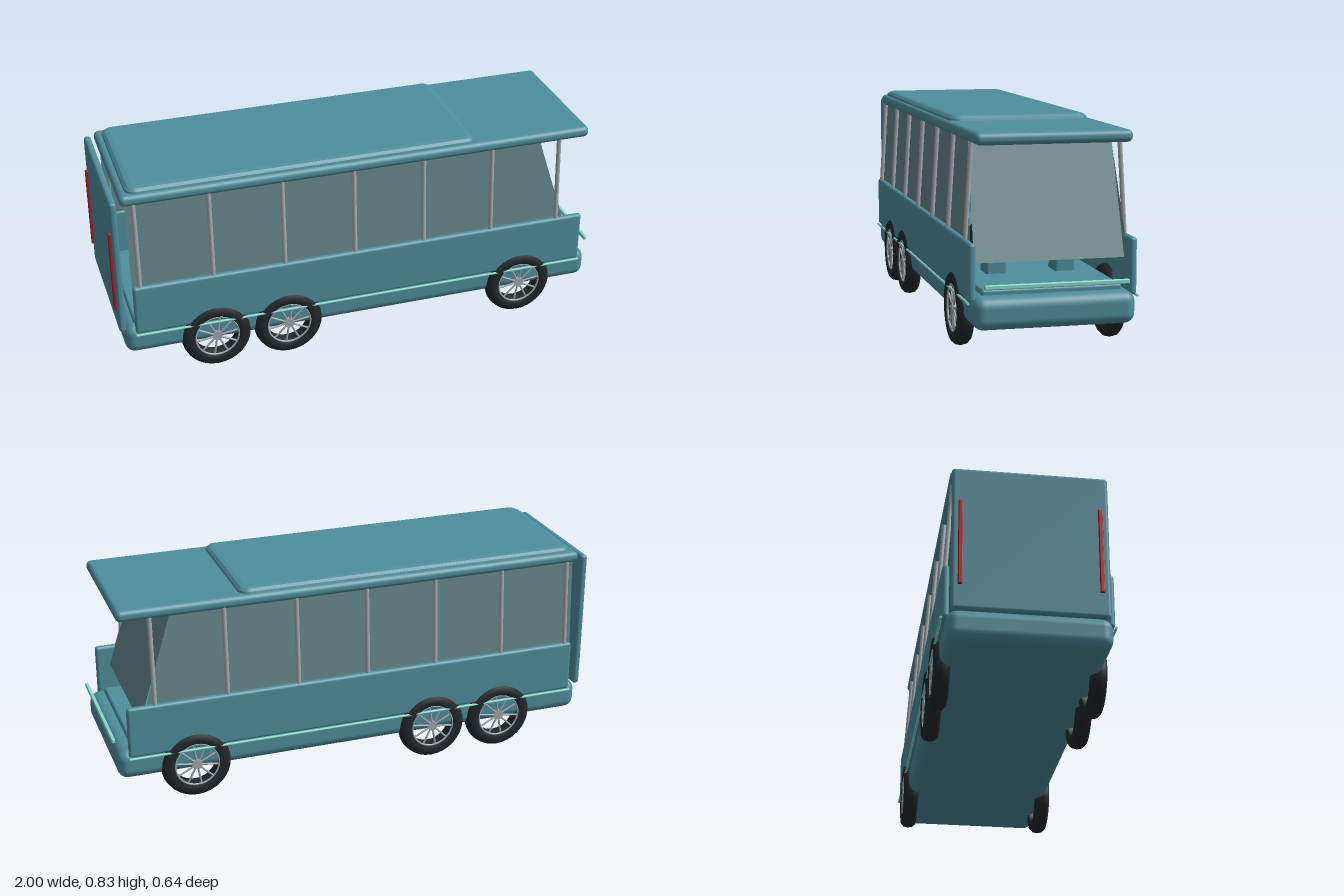
import * as THREE from 'three';
import { RoundedBoxGeometry } from 'three/addons/geometries/RoundedBoxGeometry.js';

const mat = (color, side = THREE.FrontSide) => new THREE.MeshStandardMaterial({ color, side });

export function createModel() {
  const bus = new THREE.Group();
  bus.name = 'bus';
  const body = mat(0x4f8f9f), glass = mat(0x68888d, THREE.DoubleSide), metal = mat(0xa3abae);
  const rubber = mat(0x23282b), trim = mat(0x86dccf), red = mat(0xb01822);

  const add = (name, geometry, material, parent = bus) => {
    const mesh = new THREE.Mesh(geometry, material);
    mesh.name = name;
    parent.add(mesh);
    return mesh;
  };
  // Rounded block given by its extents along each axis
  const block = (name, [x0, x1], [y0, y1], [z0, z1], r, material) => {
    const m = add(name, new RoundedBoxGeometry(x1 - x0, y1 - y0, z1 - z0, 4, r), material);
    m.position.set((x0 + x1) / 2, (y0 + y1) / 2, (z0 + z1) / 2);
    return m;
  };
  // Round bar between two points
  const bar = (name, a, b, r, material, parent = bus) => {
    const from = new THREE.Vector3(...a), to = new THREE.Vector3(...b);
    const dir = to.clone().sub(from);
    const m = add(name, new THREE.CylinderGeometry(r, r, dir.length(), 10), material, parent);
    m.position.copy(from).add(to).multiplyScalar(0.5);
    m.quaternion.setFromUnitVectors(new THREE.Vector3(0, 1, 0), dir.normalize());
    return m;
  };
  // Flat four-cornered pane
  const pane = (name, corners) => {
    const g = new THREE.BufferGeometry();
    g.setAttribute('position', new THREE.Float32BufferAttribute(corners.flat(), 3));
    g.setIndex([0, 1, 2, 0, 2, 3]);
    g.computeVertexNormals();
    return add(name, g, glass);
  };

  // Chassis, rear wall and roof
  block('chassis', [-0.97, 0.98], [0.11, 0.23], [-0.3, 0.3], 0.04, body);
  block('floor', [-0.93, 0.92], [0.22, 0.25], [-0.26, 0.26], 0.01, body);
  block('rearWall', [-0.99, -0.962], [0.215, 0.79], [-0.287, 0.287], 0.012, body);
  block('roof', [-0.95, 0.955], [0.765, 0.81], [-0.289, 0.289], 0.02, body);

  // Raised roof cover with sloped edges
  const w = 1.39, d = 0.54, r = 0.04;
  const outline = new THREE.Shape();
  outline.moveTo(-w / 2 + r, -d / 2);
  [[1, -1, -Math.PI / 2], [1, 1, 0], [-1, 1, Math.PI / 2], [-1, -1, Math.PI]].forEach(([sx, sy, a]) =>
    outline.absarc(sx * (w / 2 - r), sy * (d / 2 - r), r, a, a + Math.PI / 2, false));
  const cover = add('roofCover', new THREE.ExtrudeGeometry(outline, {
    depth: 0.002, bevelThickness: 0.025, bevelSize: 0.03, bevelOffset: -0.025, bevelSegments: 3, curveSegments: 6,
  }), body);
  cover.rotation.x = -Math.PI / 2;
  cover.position.set(-0.225, 0.803, 0);

  // Windshield
  pane('windshield', [[0.885, 0.34, 0.28], [0.885, 0.34, -0.28], [0.747, 0.775, -0.27], [0.747, 0.775, 0.27]]);

  for (const s of [1, -1]) {
    // Lower side walls, windows and posts
    block('sideWall', [-0.93, 0.94], [0.21, 0.42], s > 0 ? [0.285, 0.312] : [-0.312, -0.285], 0.012, body);
    pane('sideWindow', [[-0.93, 0.4, s * 0.292], [0.865, 0.4, s * 0.292], [0.747, 0.775, s * 0.268], [-0.93, 0.775, s * 0.268]]);
    for (let i = 0; i < 7; i++) {
      const x = -0.9 + i * 0.288;
      bar('windowPost', [x, 0.4, s * 0.3], [x, 0.775, s * 0.276], 0.009, metal);
    }
    bar('sideTrim', [-0.93, 0.207, s * 0.314], [0.94, 0.207, s * 0.314], 0.005, trim);
    block('tailLight', [-1, -0.988], [0.31, 0.65], [s * 0.255 - 0.008, s * 0.255 + 0.008], 0.003, red);

    // Front seats
    block('seatCushion', [0.5, 0.66], [0.3, 0.35], [s * 0.133 - 0.073, s * 0.133 + 0.073], 0.018, rubber);
    block('seatBack', [0.48, 0.52], [0.32, 0.42], [s * 0.133 - 0.073, s * 0.133 + 0.073], 0.015, rubber);
    block('seatBase', [0.53, 0.63], [0.24, 0.31], [s * 0.133 - 0.04, s * 0.133 + 0.04], 0.01, body);
  }

  // Front light bar
  block('frontLightBar', [0.982, 0.996], [0.263, 0.28], [-0.267, 0.267], 0.004, trim);

  // Wheels: turned tyre, rim, hub and slim spokes
  const tyre = new THREE.LatheGeometry([
    [0.088, -0.026], [0.105, -0.032], [0.125, -0.03], [0.136, -0.019], [0.14, 0],
    [0.136, 0.019], [0.125, 0.03], [0.105, 0.032], [0.088, 0.026], [0.088, -0.026],
  ].map(([a, b]) => new THREE.Vector2(a, b)), 32);
  const hub = new THREE.CylinderGeometry(0.02, 0.02, 0.056, 16);
  const rim = new THREE.TorusGeometry(0.088, 0.004, 8, 32);
  for (const x of [-0.61, -0.315, 0.675]) for (const s of [1, -1]) {
    const wheel = new THREE.Group();
    wheel.name = 'wheel';
    wheel.position.set(x, 0.14, s * 0.288);
    bus.add(wheel);
    add('tyre', tyre, rubber, wheel).rotation.x = Math.PI / 2;
    add('hub', hub, metal, wheel).rotation.x = Math.PI / 2;
    add('rim', rim, metal, wheel).position.z = s * 0.024;
    for (let i = 0; i < 10; i++) {
      const a = (i / 10) * Math.PI * 2 + 0.15, c = Math.cos(a), n = Math.sin(a);
      bar('spoke', [c * 0.015, n * 0.015, s * 0.022], [c * 0.09, n * 0.09, s * 0.022], 0.004, metal, wheel);
    }
  }
  return bus;
}
